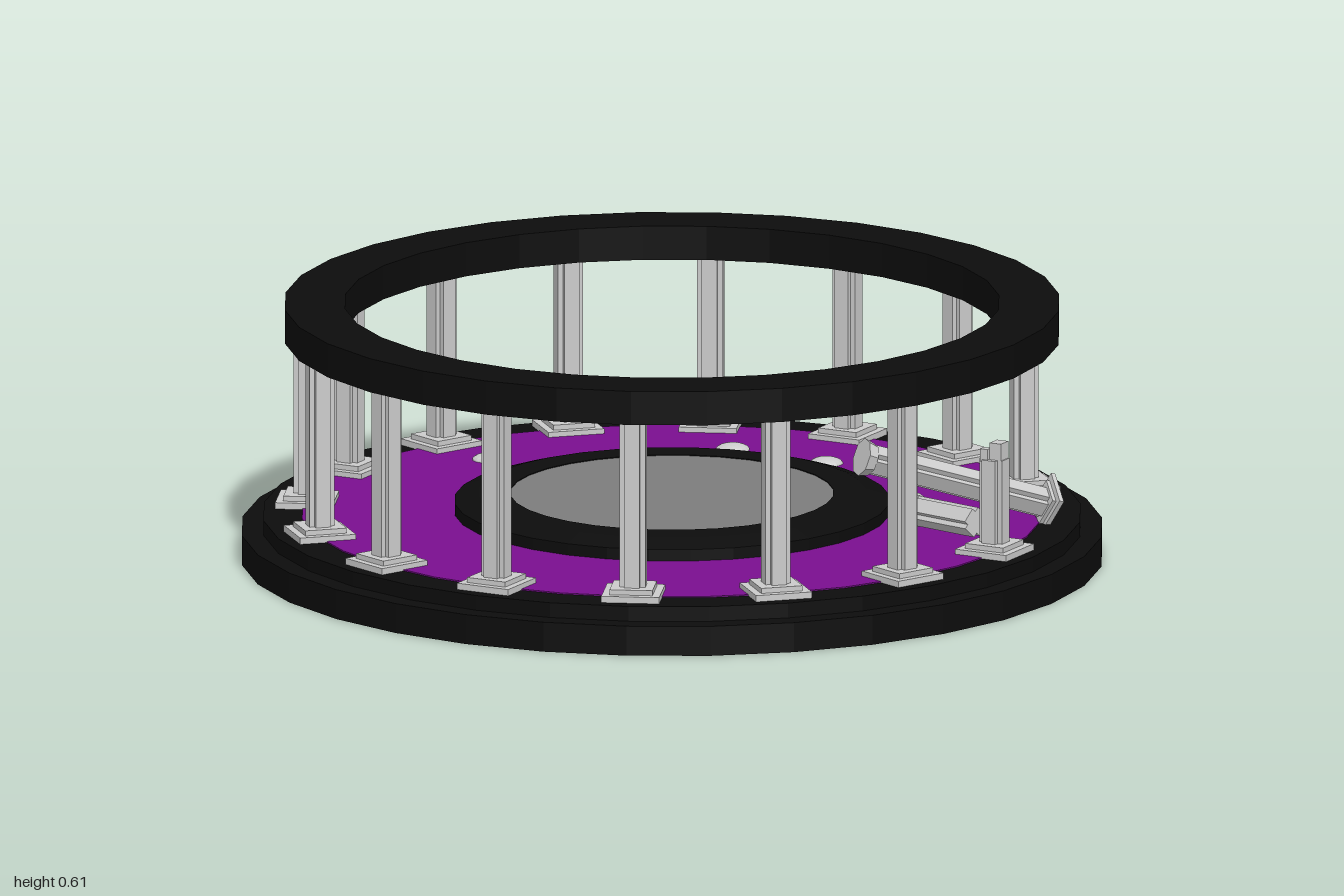
import * as THREE from 'three';

const mat = (color) => new THREE.MeshStandardMaterial({ color, flatShading: true });
const SIDES = 32, FLOOR = 0.105, COLUMN_R = 0.85;

export function createModel() {
  const black = mat(0x0c0c0c), purple = mat(0x7a0f90), darkGrey = mat(0x7c7c7c), stone = mat(0xcccccc);
  const model = new THREE.Group();

  const add = (parent, name, geometry, material, x = 0, y = 0, z = 0) => {
    const mesh = new THREE.Mesh(geometry, material);
    mesh.name = name;
    mesh.position.set(x, y, z);
    parent.add(mesh);
    return mesh;
  };
  // Revolves [radius, height] pairs, listed from the bottom outside upwards
  const lathe = (...pts) => new THREE.LatheGeometry(pts.map((p) => new THREE.Vector2(...p)), SIDES);

  // Stepped base, coloured floor and central dais
  add(model, 'base', lathe([0, 0], [1, 0], [1, 0.07], [0.95, 0.07], [0.95, FLOOR], [0.86, FLOOR], [0, FLOOR]), black);
  add(model, 'floor', lathe([0.86, FLOOR], [0.86, FLOOR + 0.003], [0.49, FLOOR + 0.003]), purple);
  add(model, 'daisRim', lathe([0.505, FLOOR], [0.505, 0.135], [0.45, 0.152], [0.375, 0.152], [0.375, 0.145]), black);
  add(model, 'daisTop', lathe([0.377, 0.15], [0, 0.15]), darkGrey);

  // Ring beam carried by the columns
  add(model, 'ringBeam', lathe([0.76, 0.525], [0.9, 0.525], [0.9, 0.605], [0.76, 0.605], [0.76, 0.525]), black);

  // Shaft section: a square with stepped corners
  const a = 0.03, b = 0.018;
  const section = new THREE.Shape();
  for (let i = 0; i < 4; i++) {
    const c = Math.round(Math.cos(i * Math.PI / 2)), s = Math.round(Math.sin(i * Math.PI / 2));
    for (const [x, y] of [[a, -b], [a, b], [b, b]]) {
      const px = x * c - y * s, py = x * s + y * c;
      if (i === 0 && y === -b) section.moveTo(px, py);
      else section.lineTo(px, py);
    }
  }
  section.closePath();
  const shaft = (h) => new THREE.ExtrudeGeometry(section, { depth: h, bevelEnabled: false }).rotateX(-Math.PI / 2);

  const plinth = (parent) => {
    add(parent, 'plinthFoot', new THREE.BoxGeometry(0.135, 0.015, 0.135), stone, 0, 0.0075);
    add(parent, 'plinthStep', new THREE.BoxGeometry(0.1, 0.012, 0.1), stone, 0, 0.021);
  };
  const capital = (parent, y) => {
    const geometry = new THREE.CylinderGeometry(0.045, 0.038, 0.025, 8);
    add(parent, 'capital', geometry, stone, 0, y);
  };

  // Sixteen places: the first column has fallen, the second is snapped off
  for (let i = 1; i < 16; i++) {
    const angle = i * Math.PI / 8;
    const column = new THREE.Group();
    column.name = i === 1 ? 'brokenColumn' : 'column';
    column.position.set(COLUMN_R * Math.cos(angle), FLOOR, COLUMN_R * Math.sin(angle));
    column.rotation.y = -angle;
    plinth(column);
    add(column, 'shaft', shaft(i === 1 ? 0.2 : 0.4), stone, 0, 0.025);
    if (i === 1) {
      // Jagged break
      add(column, 'shard', new THREE.BoxGeometry(0.03, 0.04, 0.036), stone, 0.012, 0.245);
      add(column, 'shard', new THREE.BoxGeometry(0.02, 0.03, 0.02), stone, -0.015, 0.235, 0.015);
    }
    model.add(column);
  }

  // Fallen pieces, each running from its lower end to its capital
  const fallen = (name, from, to, withPlinth) => {
    const start = new THREE.Vector3(...from), dir = new THREE.Vector3(...to).sub(start);
    const length = dir.length();
    const piece = new THREE.Group();
    piece.name = name;
    piece.position.copy(start);
    piece.quaternion.setFromUnitVectors(new THREE.Vector3(0, 1, 0), dir.normalize());
    add(piece, 'shaft', shaft(length), stone);
    capital(piece, length - 0.0125);
    if (withPlinth) {
      const foot = new THREE.Group();
      foot.name = 'plinth';
      foot.scale.setScalar(0.75);
      plinth(foot);
      piece.add(foot);
    }
    model.add(piece);
  };
  fallen('fallenColumn', [0.88, 0.145, -0.005], [0.465, 0.3, 0.22], true);
  fallen('fallenColumnTop', [0.74, 0.17, 0.3], [0.57, 0.16, 0.145], false);

  // Low domed studs on the floor
  for (const [x, z] of [[-0.475, -0.465], [0.075, -0.625], [0.305, -0.51]]) {
    const dome = new THREE.SphereGeometry(0.04, 16, 6, 0, Math.PI * 2, 0, Math.PI / 2).scale(1, 0.4, 1);
    add(model, 'stud', dome, stone, x, FLOOR + 0.002, z);
  }
  return model;
}
